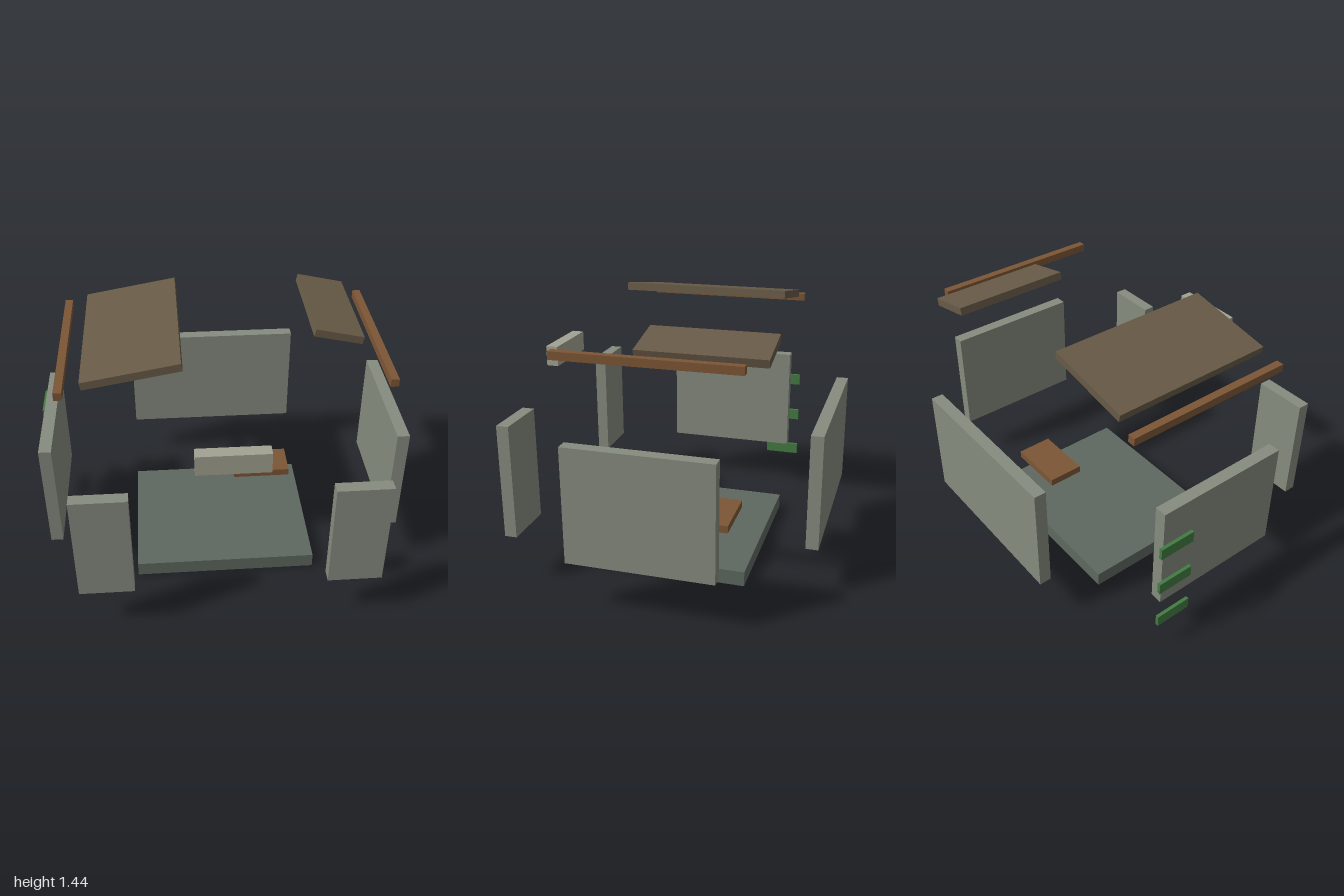
import * as THREE from 'three';

export function createModel() {
  const model = new THREE.Group();
  const material = (color) => new THREE.MeshStandardMaterial({ color, flatShading: true });
  const wall = material(0x868c7f);
  const floor = material(0x5e6860);
  const stone = material(0xa3a393);
  const wood = material(0x7d5636);
  const roof = material(0x685a47);
  const green = material(0x427c42);

  // Box given by its size and centre, optionally tilted about z (degrees)
  function slab(name, mat, size, centre, tilt = 0) {
    const mesh = new THREE.Mesh(new THREE.BoxGeometry(...size), mat);
    mesh.name = name;
    mesh.position.set(...centre);
    mesh.rotation.z = THREE.MathUtils.degToRad(tilt);
    model.add(mesh);
  }

  // Floor and the walls standing off around it
  slab('floor', floor, [1.005, 0.083, 0.84], [0.023, 0.0415, 0]);
  slab('backWall', wall, [1.005, 0.615, 0.066], [0.023, 0.578, -0.767]);
  slab('rightWall', wall, [0.066, 0.615, 0.766], [-0.917, 0.578, -0.001]);
  slab('leftWall', wall, [0.066, 0.615, 0.766], [0.965, 0.578, -0.001]);
  slab('frontWallRight', wall, [0.29, 0.615, 0.066], [-0.63, 0.578, 0.767]);
  slab('frontWallLeft', wall, [0.29, 0.615, 0.066], [0.675, 0.578, 0.767]);
  slab('doorLintel', stone, [0.366, 0.11, 0.066], [0.023, 1.083, 0.767]);

  // Roof panels and eave beams
  slab('roofPanelRight', roof, [0.5, 0.042, 0.915], [-0.445, 1.373, 0.002], 10);
  slab('roofPanelLeft', roof, [0.267, 0.042, 0.65], [0.641, 1.329, -0.244], -12.5);
  for (const x of [-0.801, 0.845])
    slab('eaveBeam', wood, [0.042, 0.042, 0.95], [x, 1.287, -0.001]);

  // Loose board above the floor
  slab('board', wood, [0.334, 0.042, 0.205], [0.283, 0.279, -0.207]);

  // Green strips beside the right wall
  for (const y of [0.204, 0.448, 0.692])
    slab('greenStrip', green, [0.018, 0.066, 0.205], [-0.991, y, -0.335]);

  return model;
}
